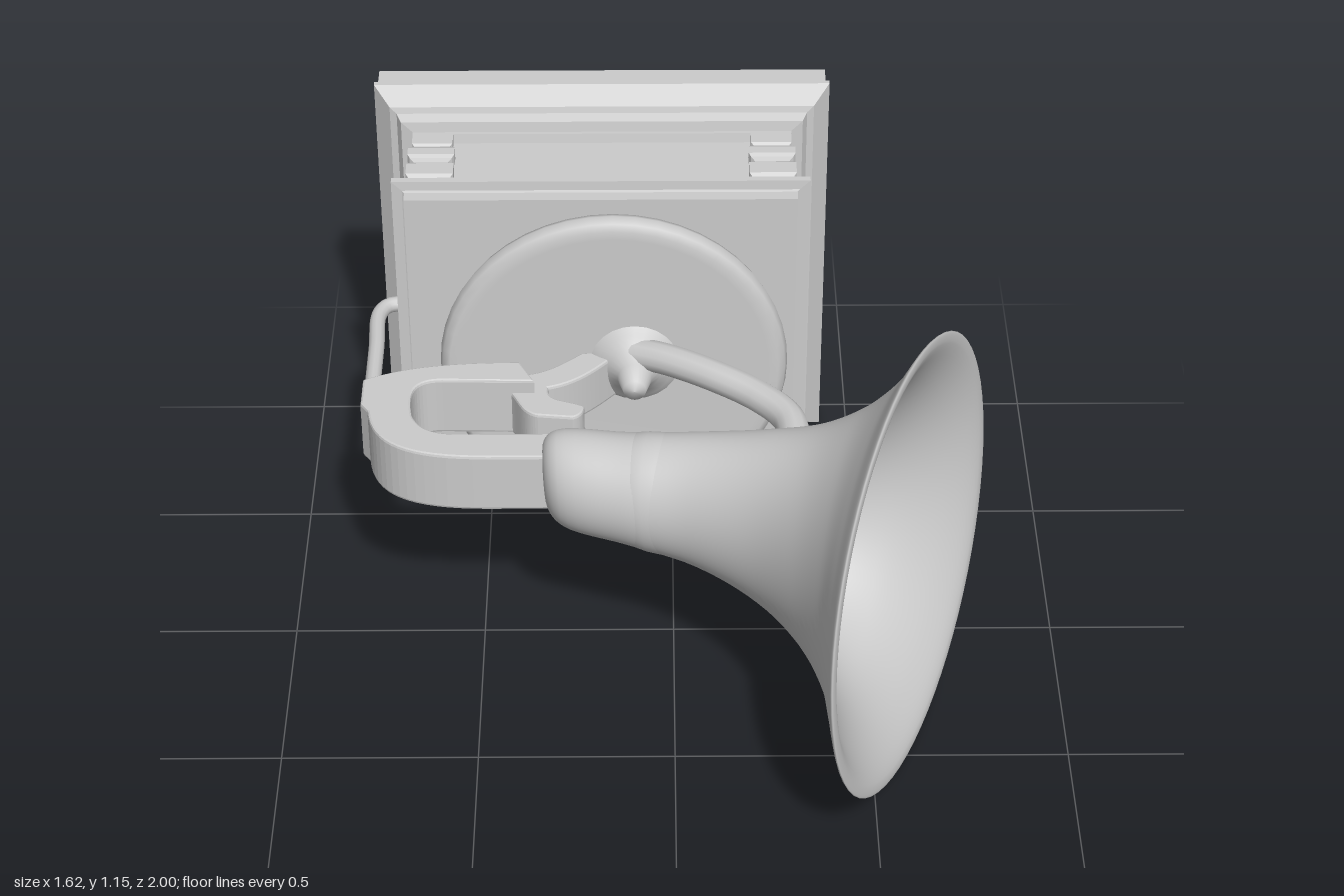
import * as THREE from 'three';

const CX = -0.185, CY = 0.57; // centre of the cabinet

const smooth = () => new THREE.MeshStandardMaterial({ color: 0xcccccc, side: THREE.DoubleSide });
const flat = () => new THREE.MeshStandardMaterial({ color: 0xcccccc, flatShading: true });

function add(parent, name, geometry, material) {
  const mesh = new THREE.Mesh(geometry, material);
  mesh.name = name;
  parent.add(mesh);
  return mesh;
}

// Lathe whose axis runs along z; profile entries are [radius, z]
function latheZ(profile, sides) {
  const g = new THREE.LatheGeometry(profile.map(([r, z]) => new THREE.Vector2(r, z)), sides);
  return g.rotateX(Math.PI / 2);
}

// Square stack along z; profile entries are [half width, z]
function squareZ(profile) {
  return latheZ(profile.map(([w, z]) => [w * Math.SQRT2, z]), 4).rotateZ(Math.PI / 4);
}

function tube(points, radius, sides = 12) {
  const curve = new THREE.CatmullRomCurve3(points.map(p => new THREE.Vector3(...p)));
  return new THREE.TubeGeometry(curve, 40, radius, sides);
}

// Flared horn with a thin wall, lofted through slanted elliptical sections
function hornGeometry() {
  // [rear x, rear z, front x, front z, half height]
  const outer = [
    [-0.325, 0.0, -0.325, 0.15, 0.09],
    [-0.29, -0.02, -0.29, 0.2, 0.125],
    [-0.1, 0.01, -0.13, 0.265, 0.148],
    [0.1, 0.045, 0.03, 0.32, 0.183],
    [0.28, 0.08, 0.18, 0.43, 0.237],
    [0.42, 0.09, 0.28, 0.58, 0.295],
    [0.56, 0.06, 0.335, 0.75, 0.38],
    [0.7, -0.02, 0.35, 0.9, 0.48],
    [0.8, -0.11, 0.36, 1.0, 0.57],
  ];
  const inner = outer.slice(2).reverse().map(([ax, az, bx, bz, h]) => [
    ax + (bx - ax) * 0.03, az + (bz - az) * 0.03,
    bx + (ax - bx) * 0.03, bz + (az - bz) * 0.03, h * 0.95]);
  const sections = [
    [-0.33, 0.075, -0.33, 0.075, 0], ...outer, ...inner, [-0.17, 0.12, -0.17, 0.12, 0],
  ];
  const rear = new THREE.CatmullRomCurve3(sections.map(s => new THREE.Vector3(s[0], s[4], s[1])));
  const front = new THREE.CatmullRomCurve3(sections.map(s => new THREE.Vector3(s[2], 0, s[3])));
  const rows = (sections.length - 1) * 6, sides = 64, positions = [], index = [];
  for (let i = 0; i <= rows; i++) {
    const a = rear.getPoint(i / rows), b = front.getPoint(i / rows);
    for (let j = 0; j < sides; j++) {
      const t = (j / sides) * Math.PI * 2, c = Math.cos(t), h = a.y * Math.sin(t);
      positions.push(
        (a.x + b.x) / 2 + ((b.x - a.x) / 2) * c - 0.05 * h,
        0.586 + h,
        (a.z + b.z) / 2 + ((b.z - a.z) / 2) * c - 0.03 * h);
    }
  }
  for (let i = 0; i < rows; i++) for (let j = 0; j < sides; j++) {
    const k = (j + 1) % sides, p = i * sides + j, q = i * sides + k;
    index.push(p, p + sides, q, q, p + sides, q + sides);
  }
  const g = new THREE.BufferGeometry();
  g.setAttribute('position', new THREE.Float32BufferAttribute(positions, 3));
  g.setIndex(index);
  g.computeVertexNormals();
  return g;
}

// Flat outline in the x-z plane, thickened upward from y0 to y1
function strap(shape, y0, y1) {
  const g = new THREE.ExtrudeGeometry(shape, {
    depth: y1 - y0 - 0.016, curveSegments: 16,
    bevelThickness: 0.008, bevelSize: 0.006, bevelOffset: -0.006, bevelSegments: 2,
  });
  return g.rotateX(Math.PI / 2).translate(0, y1 - 0.008, 0);
}

export function createModel() {
  const group = new THREE.Group();

  // Cabinet: stepped rectangular mouldings around the body
  const cabinet = new THREE.Group();
  cabinet.name = 'cabinet';
  cabinet.position.set(CX, CY, 0);
  group.add(cabinet);
  const steps = [
    [0, -1], [0.985, -1], [0.985, -0.935], [1, -0.93], [1, -0.915], [0.93, -0.865],
    [0.9, -0.86], [0.88, -0.835], [0.83, -0.83], [0.83, -0.82], [0.785, -0.815],
    [0.785, -0.56], [0.87, -0.56], [0.895, -0.55], [0.895, -0.53], [0.85, -0.528],
    [0.84, -0.525], [0.84, -0.49], [0, -0.49],
  ];
  add(cabinet, 'cabinetBody', squareZ(steps).scale(0.608, 0.565, 1), flat());

  // Square corner columns with stacked collars
  const collars = [
    [0.054, -0.83], [0.054, -0.775], [0.048, -0.77], [0.048, -0.755], [0.058, -0.75],
    [0.062, -0.74], [0.062, -0.71], [0.056, -0.7], [0.046, -0.695], [0.046, -0.68],
    [0.056, -0.675], [0.062, -0.665], [0.062, -0.615], [0.054, -0.605], [0.048, -0.6],
    [0.048, -0.585], [0.056, -0.58], [0.056, -0.555],
  ];
  for (const sx of [-1, 1]) for (const sy of [-1, 1]) {
    add(cabinet, 'cornerColumn', squareZ(collars), flat()).position.set(sx * 0.45, sy * 0.415, 0);
  }

  // Turntable with rounded edge, and its spindle
  const turntable = latheZ([
    [0, -0.465], [0.435, -0.465], [0.452, -0.458], [0.46, -0.435], [0.453, -0.408],
    [0.435, -0.398], [0.41, -0.4], [0, -0.4],
  ], 48);
  add(group, 'turntable', turntable, smooth()).position.set(-0.155, CY, 0);
  add(group, 'spindle', latheZ([[0.04, -0.5], [0.04, -0.45]], 20), smooth()).position.set(-0.155, CY, 0);
  add(group, 'hub', latheZ([
    [0.12, -0.402], [0.1, -0.385], [0.07, -0.365], [0.045, -0.33], [0.03, -0.275], [0, -0.268],
  ], 24), smooth()).position.set(-0.1, CY + 0.02, 0);

  // U-shaped tone arm
  const arm = new THREE.Shape();
  arm.moveTo(-0.29, 0.1);
  arm.lineTo(-0.47, 0.1);
  arm.bezierCurveTo(-0.68, 0.1, -0.77, 0.04, -0.785, -0.1);
  arm.lineTo(-0.805, -0.13);
  arm.lineTo(-0.805, -0.235);
  arm.bezierCurveTo(-0.72, -0.28, -0.62, -0.31, -0.4, -0.31);
  arm.lineTo(-0.36, -0.225);
  arm.lineTo(-0.6, -0.23);
  arm.bezierCurveTo(-0.69, -0.23, -0.68, -0.15, -0.67, -0.08);
  arm.bezierCurveTo(-0.65, -0.02, -0.61, 0, -0.55, 0);
  arm.lineTo(-0.29, 0);
  add(group, 'toneArm', strap(arm, 0.49, 0.66), smooth());

  // Sound head: curved foot to the turntable and a hooked tip
  const head = new THREE.Shape();
  head.moveTo(-0.42, -0.305);
  head.bezierCurveTo(-0.34, -0.31, -0.31, -0.34, -0.24, -0.405);
  head.lineTo(-0.14, -0.405);
  head.bezierCurveTo(-0.2, -0.33, -0.25, -0.27, -0.325, -0.25);
  head.bezierCurveTo(-0.33, -0.19, -0.28, -0.2, -0.23, -0.17);
  head.quadraticCurveTo(-0.23, -0.13, -0.26, -0.12);
  head.lineTo(-0.35, -0.13);
  head.bezierCurveTo(-0.39, -0.14, -0.4, -0.19, -0.42, -0.225);
  add(group, 'soundHead', strap(head, 0.49, 0.62), smooth());

  // Horn and the strut that carries it
  add(group, 'horn', hornGeometry(), smooth());
  add(group, 'hornStrut', tube([
    [-0.1, 0.63, -0.39], [-0.02, 0.645, -0.34], [0.1, 0.655, -0.255], [0.22, 0.655, -0.16],
    [0.295, 0.655, -0.06], [0.31, 0.65, 0.08],
  ], 0.042), smooth());

  // Side rod linking cabinet and tone arm
  add(group, 'sideRod', tube([
    [-0.6, CY, -0.7], [-0.7, CY, -0.705], [-0.765, CY, -0.7], [-0.79, CY, -0.66],
    [-0.79, CY, -0.5], [-0.79, CY, -0.22],
  ], 0.021), smooth());
  const socket = new THREE.CylinderGeometry(0.035, 0.05, 0.12, 16).rotateZ(Math.PI / 2);
  add(group, 'rodSocket', socket, smooth()).position.set(-0.68, CY, -0.7);

  return group;
}
